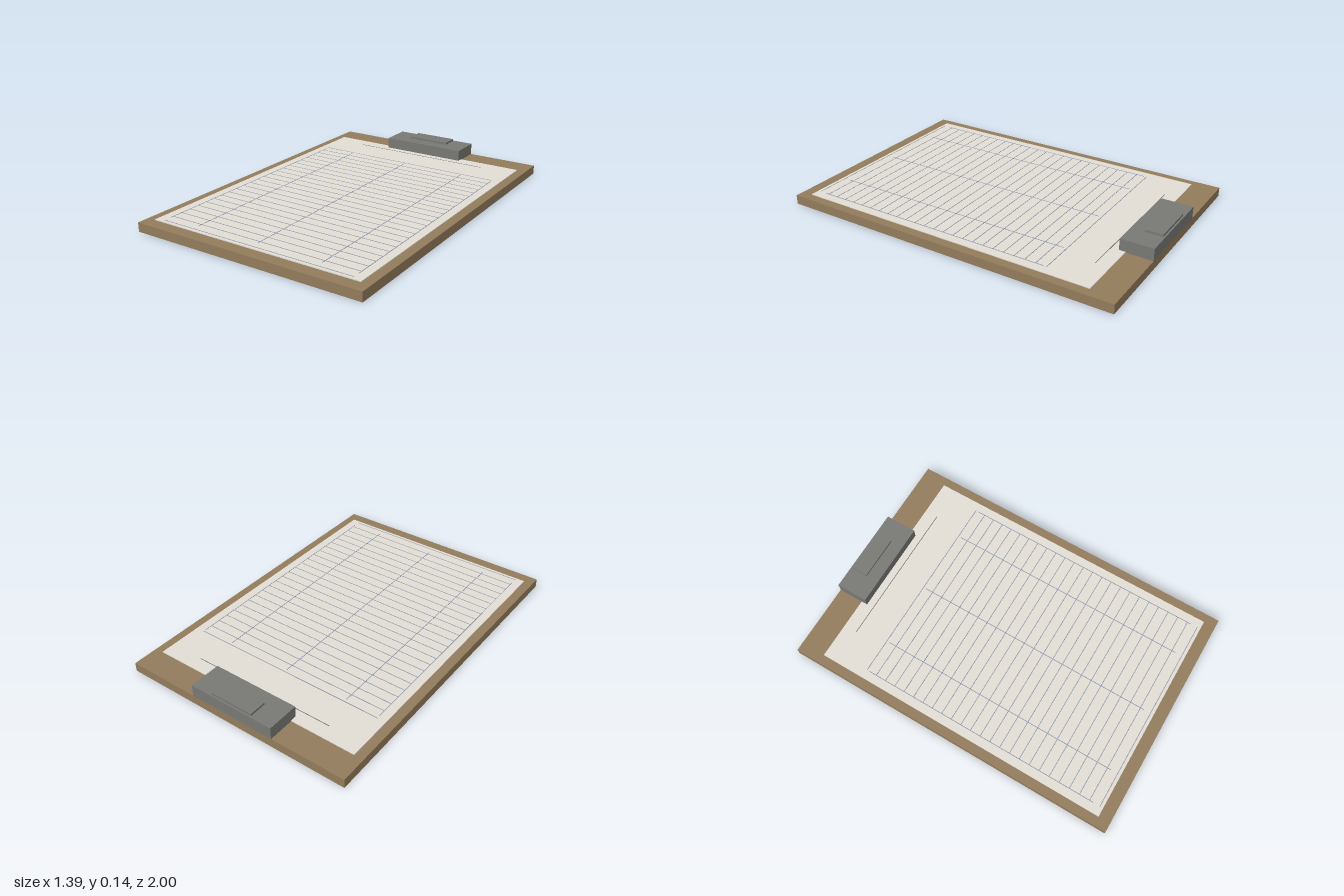
import * as THREE from 'three';

const BOARD_TOP = 0.053;
const PAPER_TOP = 0.058;

const material = (color) => new THREE.MeshStandardMaterial({ color });

// Box given by its extents along each axis
function box(name, [x0, x1], [y0, y1], [z0, z1], mat) {
  const mesh = new THREE.Mesh(new THREE.BoxGeometry(x1 - x0, y1 - y0, z1 - z0), mat);
  mesh.position.set((x0 + x1) / 2, (y0 + y1) / 2, (z0 + z1) / 2);
  mesh.name = name;
  return mesh;
}

export function createModel() {
  const model = new THREE.Group();
  model.name = 'clipboard';

  const wood = material(0x937b5c);
  const paper = material(0xe2ded5);
  const metal = material(0x787974);
  const ink = material(0x8f97ad);
  const darkInk = material(0x77777a);

  // Backing board and sheet
  model.add(box('board', [-0.695, 0.695], [0, BOARD_TOP], [-1, 1], wood));
  model.add(box('paper', [-0.643, 0.643], [BOARD_TOP, PAPER_TOP], [-0.85, 0.93], paper));

  // Printed form: thin strips just above the sheet
  const form = new THREE.Group();
  form.name = 'printedForm';
  const inkY = [PAPER_TOP, PAPER_TOP + 0.001];
  const half = 0.002;
  form.add(box('titleLine', [-0.435, 0.435], inkY, [-0.77 - half, -0.77 + half], darkInk));
  for (let i = 0; i < 25; i++) {
    const z = -0.587 + i * 0.0624;
    form.add(box('rowLine', [-0.593, 0.593], inkY, [z - half, z + half], ink));
  }
  for (const x of [-0.592, -0.39, 0, 0.39, 0.592]) {
    form.add(box('columnLine', [x - half, x + half], inkY, [-0.57, 0.87], ink));
  }
  model.add(form);

  // Clip with its raised press plate
  const clip = new THREE.Group();
  clip.name = 'clip';
  clip.add(box('clipBody', [-0.26, 0.26], [BOARD_TOP, 0.123], [-1, -0.813], metal));
  clip.add(box('pressPlate', [-0.13, 0.13], [0.123, 0.136], [-0.99, -0.89], metal));
  model.add(clip);

  return model;
}
